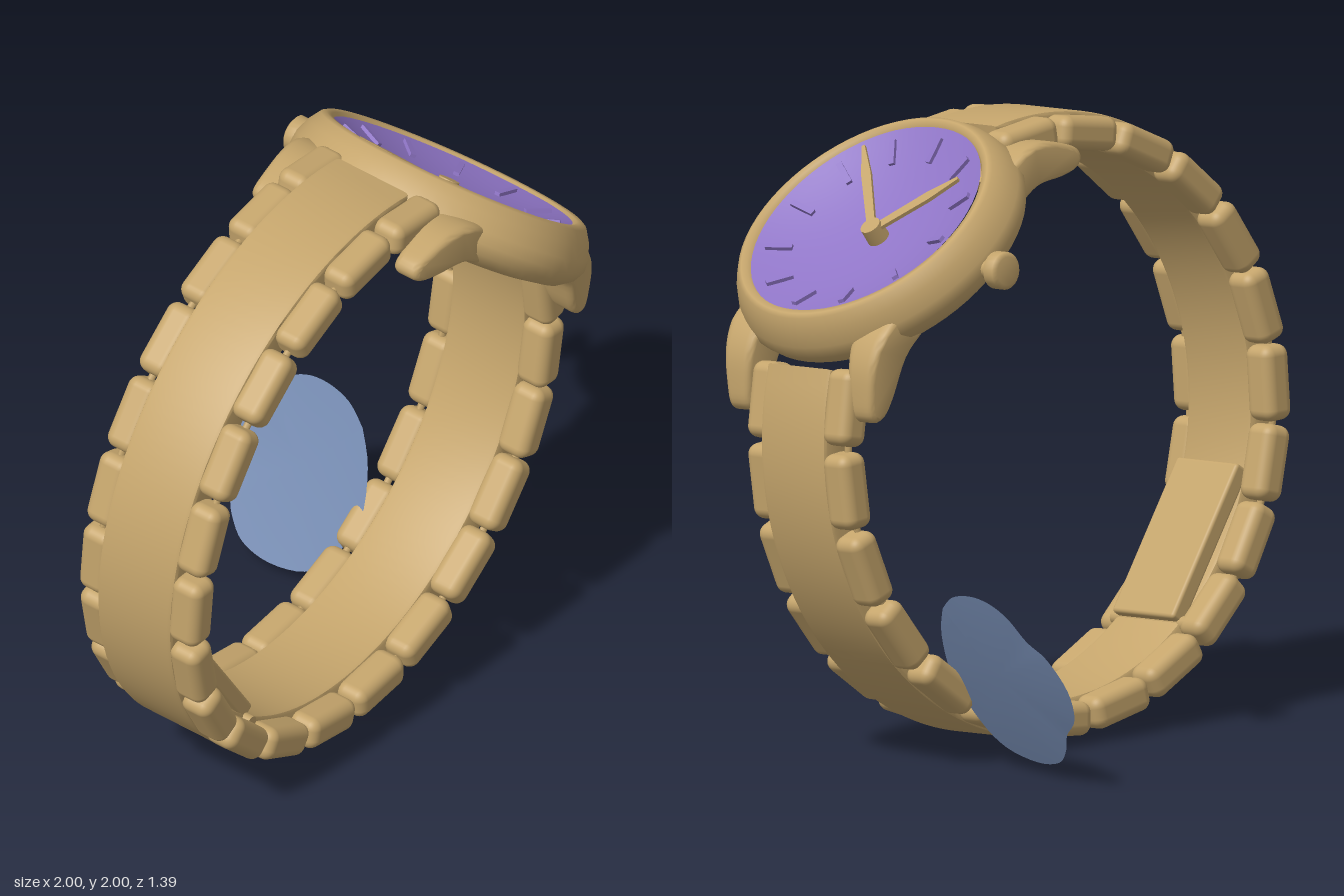
import * as THREE from 'three';
import { RoundedBoxGeometry } from 'three/addons/geometries/RoundedBoxGeometry.js';
import { toCreasedNormals } from 'three/addons/utils/BufferGeometryUtils.js';

const material = (name, color, side = THREE.FrontSide) => {
  const m = new THREE.MeshStandardMaterial({ color, side });
  m.name = name;
  return m;
};
const rad = THREE.MathUtils.degToRad;
const points = (list) => list.map(([x, y]) => new THREE.Vector2(x, y));

export function createModel() {
  const gold = material('gold', 0xc5a56c);
  const purple = material('purple dial', 0x8f75c6);
  const blue = material('slate blue', 0x768cb2, THREE.DoubleSide);

  const add = (parent, name, geometry, mat, x = 0, y = 0, z = 0) => {
    const mesh = new THREE.Mesh(geometry, mat);
    mesh.name = name;
    mesh.position.set(x, y, z);
    parent.add(mesh);
    return mesh;
  };

  const root = new THREE.Group();
  root.name = 'wristwatch';

  // The whole watch leans: its width axis is not quite the z axis
  const watch = new THREE.Group();
  watch.name = 'watch';
  const zAxis = new THREE.Vector3(0.21, -0.065, 1).normalize();
  const xAxis = new THREE.Vector3(1, 0, -0.21).normalize();
  const yAxis = new THREE.Vector3().crossVectors(zAxis, xAxis);
  watch.quaternion.setFromRotationMatrix(new THREE.Matrix4().makeBasis(xAxis, yAxis, zAxis));
  watch.position.set(0, 1, 0.247);
  root.add(watch);

  // Central band strip
  const start = rad(80), end = rad(377);
  const arc = new THREE.Shape();
  arc.absarc(0, 0, 0.98, start, end, false);
  arc.absarc(0, 0, 0.885, end, start, true);
  const strip = new THREE.ExtrudeGeometry(arc, {
    depth: 0.26, curveSegments: 60, bevelThickness: 0.015, bevelSize: 0.012, bevelSegments: 2,
  });
  add(watch, 'bandStrip', toCreasedNormals(strip, 0.5), gold, 0, 0, -0.13);

  // Side links along both edges, joined by a thin rod; the band twists slightly
  const linkGeometry = new RoundedBoxGeometry(0.108, 0.243, 0.115, 4, 0.036);
  const rodGeometry = new THREE.TorusGeometry(0.927, 0.012, 6, 60, end - start);
  for (const side of [-1, 1]) {
    for (let i = 0; i < 19; i++) {
      const a = rad(83 + i * 16);
      const r = 0.912 + 0.015 * (1 - side * Math.cos(a));
      const link = add(watch, 'sideLink', linkGeometry, gold,
        r * Math.cos(a), r * Math.sin(a), side * 0.187);
      link.rotation.z = a;
    }
    add(watch, 'linkRod', rodGeometry, gold, 0, 0, side * 0.187).rotation.z = start;
  }

  // Folding clasp inside the band
  const clasp = new THREE.Group();
  clasp.name = 'clasp';
  clasp.rotation.z = rad(215);
  watch.add(clasp);
  add(clasp, 'claspPlate', new RoundedBoxGeometry(0.06, 0.55, 0.28, 2, 0.012), gold, 0.825, 0, 0);
  add(clasp, 'claspHinge', new THREE.CylinderGeometry(0.025, 0.025, 0.34, 12), gold, 0.85, 0.27, 0)
    .rotation.x = Math.PI / 2;

  // Case frame: x along the band, y out of the dial
  const head = new THREE.Group();
  head.name = 'head';
  head.position.set(0.628, 0.736, 0.006);
  head.rotation.z = rad(-37.5);
  watch.add(head);

  // Case body, a little longer across the band than along it
  const caseGeometry = new THREE.LatheGeometry(points([
    [0, -0.22], [0.38, -0.22], [0.45, -0.204], [0.492, -0.172], [0.51, -0.135], [0.506, -0.095],
    [0.485, -0.045], [0.46, -0.008], [0.445, 0], [0.425, -0.003], [0.416, -0.025], [0.405, -0.04],
  ]), 64);
  caseGeometry.scale(0.97, 1, 1);
  add(head, 'case', caseGeometry, gold);

  // Bowl-shaped dial
  const bowl = (r) => -0.098 + 0.086 * (r / 0.41) ** 2;
  const dialProfile = [];
  for (let i = 0; i <= 10; i++) dialProfile.push([0.411 * (1 - i / 10), bowl(0.411 * (1 - i / 10))]);
  add(head, 'dial', new THREE.LatheGeometry(points(dialProfile), 64), purple);

  // Hour marks
  const markGeometry = new THREE.BoxGeometry(0.088, 0.016, 0.02);
  for (let i = 0; i < 12; i++) {
    const spoke = new THREE.Group();
    spoke.name = 'hourMark';
    spoke.rotation.y = (i * Math.PI) / 6 - 0.11;
    head.add(spoke);
    add(spoke, 'markBar', markGeometry, purple, 0.333, bowl(0.333) + 0.005, 0).rotation.z = 0.33;
  }

  // Hands, tapered to the tip and rising with the bowl
  const hand = (name, dx, dz, width, y) => {
    const length = Math.hypot(dx, dz);
    const s = new THREE.Shape(points([
      [-0.03, -width * 0.5], [length * 0.65, -width * 0.6], [length, -width * 0.2],
      [length, width * 0.2], [length * 0.65, width * 0.6], [-0.03, width * 0.5],
    ]));
    const g = new THREE.ExtrudeGeometry(s, { depth: 0.012, bevelEnabled: false });
    g.rotateX(-Math.PI / 2);
    g.rotateZ(0.1);
    add(head, name, g, gold, 0, y, 0).rotation.y = Math.atan2(-dz, dx);
  };
  hand('minuteHand', -0.3, 0.245, 0.028, -0.058);
  hand('hourHand', -0.22, -0.24, 0.034, -0.066);
  add(head, 'handHub', new THREE.CylinderGeometry(0.034, 0.037, 0.06, 24), gold, 0, -0.07, 0);

  // Lugs: wide at the case, narrow at the tip
  const lugShape = new THREE.Shape(new THREE.SplineCurve(points([
    [0.28, -0.1], [0.4, -0.105], [0.49, -0.15], [0.56, -0.23], [0.585, -0.275],
    [0.56, -0.29], [0.5, -0.265], [0.39, -0.2], [0.28, -0.19],
  ])).getPoints(32));
  const lugSolid = new THREE.ExtrudeGeometry(lugShape, {
    depth: 0.05, bevelThickness: 0.022, bevelSize: 0.018, bevelSegments: 4,
  });
  lugSolid.translate(0, 0, -0.025);
  const p = lugSolid.attributes.position;
  for (let i = 0; i < p.count; i++) {
    const t = THREE.MathUtils.clamp((p.getX(i) - 0.4) / 0.2, 0, 1);
    p.setZ(i, p.getZ(i) * THREE.MathUtils.lerp(1.6, 0.95, t));
  }
  const lugGeometry = toCreasedNormals(lugSolid, 0.9);
  for (const turn of [0, Math.PI]) {
    const pair = new THREE.Group();
    pair.name = 'lugPair';
    pair.rotation.y = turn;
    head.add(pair);
    for (const side of [-1, 1]) add(pair, 'lug', lugGeometry, gold, 0, 0, side * 0.28);
  }

  // Winding crown
  const crown = new THREE.LatheGeometry(points([
    [0.03, 0.44], [0.03, 0.53], [0.048, 0.535], [0.06, 0.545], [0.06, 0.585], [0.045, 0.595], [0, 0.595],
  ]), 24);
  add(head, 'crown', crown, gold, 0.045, -0.137, 0).rotation.x = -Math.PI / 2;

  // Thin lobed disc leaning beside the band, bulging at its centre; outline is (z, y)
  const outline = new THREE.SplineCurve(points([
    [-0.2, 0.53], [-0.28, 0.58], [-0.38, 0.6], [-0.47, 0.59], [-0.54, 0.55], [-0.59, 0.48],
    [-0.66, 0.43], [-0.7, 0.33], [-0.67, 0.23], [-0.59, 0.165], [-0.55, 0.11], [-0.48, 0.055],
    [-0.36, 0.037], [-0.22, 0.065], [-0.14, 0.14], [-0.09, 0.28], [-0.13, 0.43], [-0.2, 0.53],
  ])).getPoints(68);
  const disc = new THREE.CircleGeometry(1, 68);
  const d = disc.attributes.position;
  const lean = (y, z) => 0.445 + 0.48 * (y - 0.32) + 0.11 * (z + 0.38);
  d.setXYZ(0, lean(0.33, -0.38) + 0.025, 0.33, -0.38);
  outline.forEach(({ x: z, y }, i) => d.setXYZ(i + 1, lean(y, z), y, z));
  disc.computeVertexNormals();
  add(root, 'lobedDisc', disc, blue);

  return root;
}
